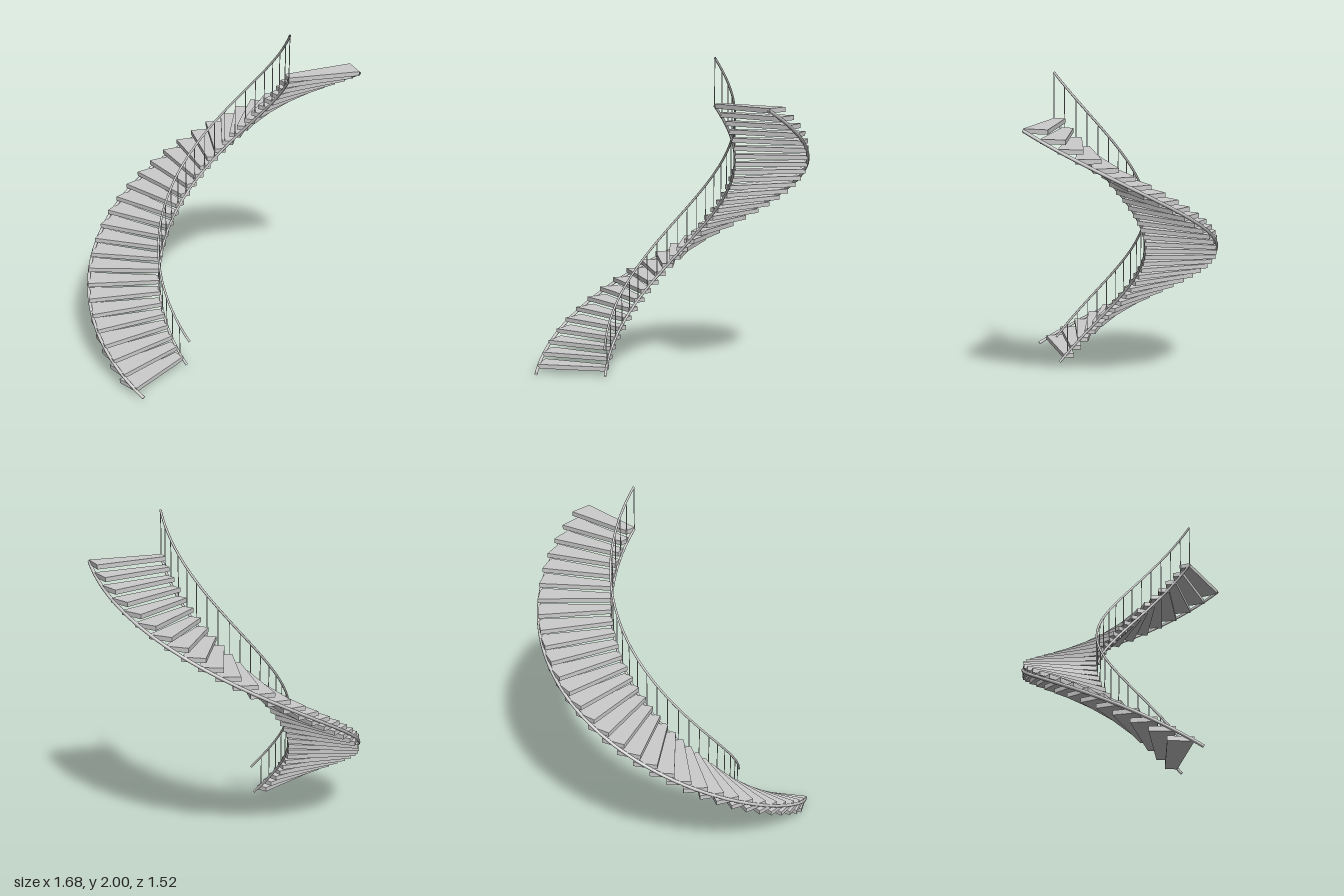
import * as THREE from 'three';

const CX = 0.006, CZ = 0.089;       // axis of the spiral
const INNER = 0.4, OUTER = 0.84;    // tread radii
const TREADS = 32, PITCH = 6.72, SPAN = 9.9, START = -48.5; // degrees
const RISE = 0.054, THICK = 0.027;
const END = 169.8;

// Point on the spiral: 0 degrees is -x, 90 is the back, 180 is +x
function polar(deg, r, y) {
  const a = THREE.MathUtils.degToRad(deg);
  return new THREE.Vector3(CX - r * Math.cos(a), y, CZ - r * Math.sin(a));
}

class Helix extends THREE.Curve {
  constructor(r, a0, y0, a1, y1) {
    super();
    Object.assign(this, { r, a0, y0, a1, y1 });
  }
  getPoint(t, target = new THREE.Vector3()) {
    const { lerp } = THREE.MathUtils;
    return target.copy(polar(lerp(this.a0, this.a1, t), this.r, lerp(this.y0, this.y1, t)));
  }
}

export function createModel() {
  const model = new THREE.Group();
  model.name = 'spiralStaircase';
  const material = new THREE.MeshStandardMaterial({ color: 0xcccccc, side: THREE.DoubleSide });

  function add(name, geometry, parent = model) {
    const mesh = new THREE.Mesh(geometry, material);
    mesh.name = name;
    parent.add(mesh);
    return mesh;
  }

  // Overlapping wedge treads
  const treads = new THREE.Group();
  treads.name = 'treads';
  model.add(treads);
  for (let i = 0; i < TREADS; i++) {
    const a = START + i * PITCH, b = a + SPAN;
    const corners = [[a, INNER], [a, OUTER], [b, OUTER], [b, INNER]].map(([deg, r]) => {
      const p = polar(deg, r, 0);
      return new THREE.Vector2(p.x, -p.z);
    });
    const wedge = new THREE.ExtrudeGeometry(new THREE.Shape(corners), { depth: THICK, bevelEnabled: false });
    wedge.rotateX(-Math.PI / 2);
    wedge.translate(0, 0.03 + i * RISE, 0);
    add('tread', wedge, treads);
  }

  // Stringers carrying the treads on both sides
  add('innerStringer', new THREE.TubeGeometry(new Helix(INNER, -52.2, 0.006, END, 1.72), 160, 0.008, 8));
  add('outerStringer', new THREE.TubeGeometry(new Helix(OUTER - 0.002, -52, 0.007, END, 1.72), 160, 0.01, 8));

  // Handrail above the inner stringer
  const railY = (deg) => 0.18 + (deg + 55.5) * 0.00806;
  add('handrail', new THREE.TubeGeometry(new Helix(INNER, -55.5, railY(-55.5), END, railY(END)), 160, 0.007, 8));

  // Thin balusters from inner stringer to handrail
  const balusters = new THREE.Group();
  balusters.name = 'balusters';
  model.add(balusters);
  for (let i = 0; i < 24; i++) {
    const deg = END - i * 9.32;
    const bottom = 1.72 * (deg + 52.2) / (END + 52.2), top = railY(deg);
    const post = add('baluster', new THREE.CylinderGeometry(0.003, 0.003, top - bottom, 6), balusters);
    post.position.copy(polar(deg, INNER, (top + bottom) / 2));
  }

  return model;
}
